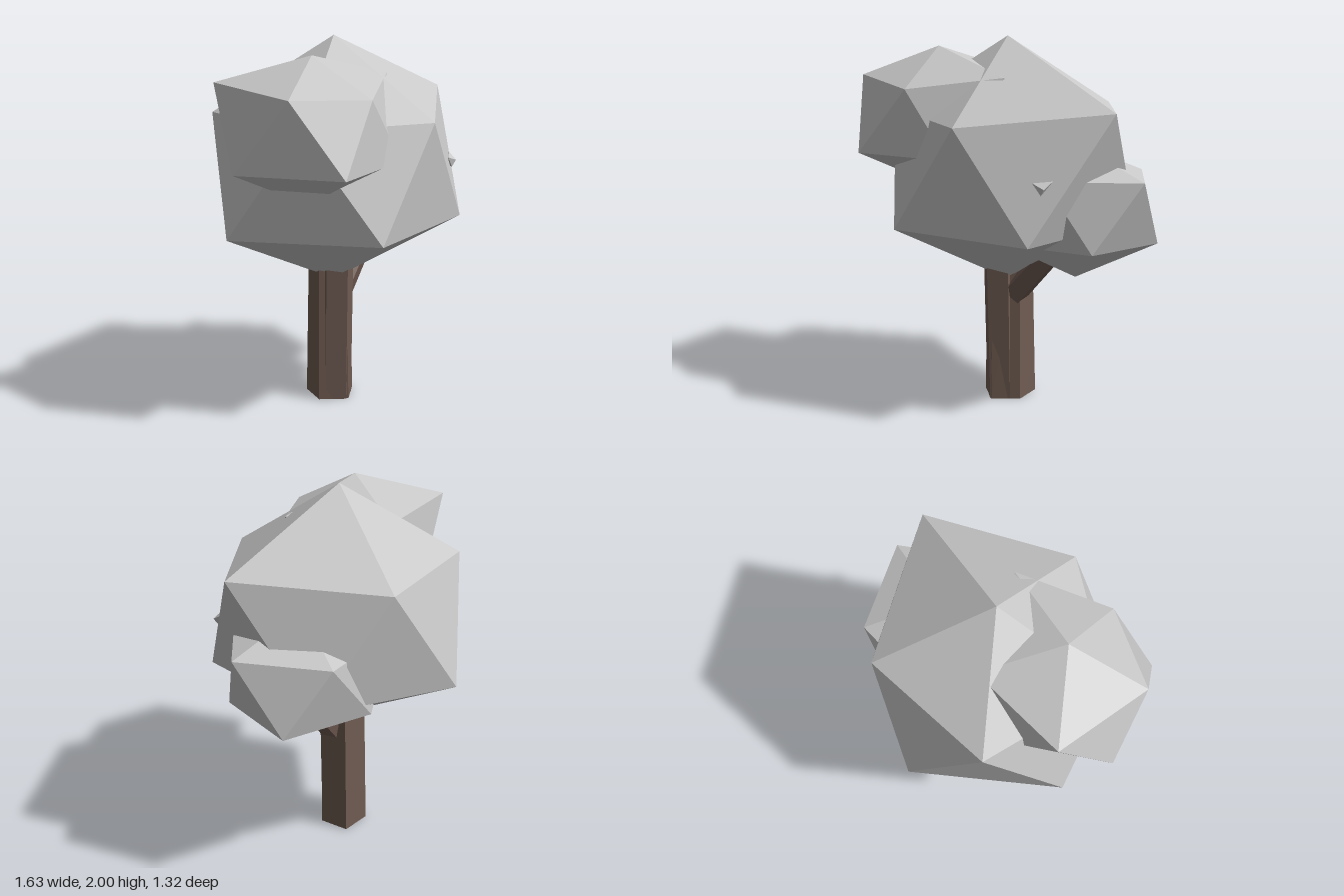
import * as THREE from 'three';
import { ConvexGeometry } from 'three/addons/geometries/ConvexGeometry.js';

const foliage = new THREE.MeshStandardMaterial({ color: 0xc8c8c8, flatShading: true });
foliage.name = 'foliage grey';
const bark = new THREE.MeshStandardMaterial({ color: 0x705c52, flatShading: true });
bark.name = 'bark brown';

// Faceted solid spanned by a handful of corner points
function solid(name, points, material) {
  const mesh = new THREE.Mesh(
    new ConvexGeometry(points.map((p) => new THREE.Vector3(...p))), material);
  mesh.name = name;
  return mesh;
}

// Five-sided tapered limb between two points
function limb(name, from, to, r0, r1) {
  const a = new THREE.Vector3(...from), b = new THREE.Vector3(...to);
  const dir = b.clone().sub(a);
  const mesh = new THREE.Mesh(new THREE.CylinderGeometry(r1, r0, dir.length(), 5), bark);
  mesh.position.copy(a).add(b).multiplyScalar(0.5);
  mesh.quaternion.setFromUnitVectors(new THREE.Vector3(0, 1, 0), dir.normalize());
  mesh.name = name;
  return mesh;
}

export function createModel() {
  const tree = new THREE.Group();
  tree.name = 'tree';

  // Crown: uneven twenty-sided clumps (top, upper ring, lower ring, bottom)
  tree.add(solid('mainCrown', [
    [-0.02, 2.0, 0],
    [0.735, 1.665, 0], [0.17, 1.595, 0.575], [-0.52, 1.6, 0.36], [-0.54, 1.6, -0.375], [0.17, 1.61, -0.6],
    [0.53, 1.02, 0.41], [-0.22, 1.025, 0.635], [-0.72, 1.01, 0], [-0.24, 1.005, -0.66], [0.53, 1.02, -0.41],
    [-0.02, 0.67, 0],
  ], foliage));
  tree.add(solid('upperClump', [
    [-0.33, 1.94, 0.21],
    [-0.725, 1.81, -0.075], [-0.665, 1.78, 0.46], [-0.22, 1.748, 0.545], [0.165, 1.81, 0.21], [-0.19, 1.79, -0.211],
    [-0.475, 1.4, 0.655], [-0.815, 1.4, 0.21], [0.03, 1.4, 0.48], [-0.46, 1.4, -0.19], [0.03, 1.4, -0.05],
    [-0.33, 1.17, 0.21],
  ], foliage));
  tree.add(solid('lowerClump', [
    [0.36, 1.455, -0.13],
    [0.815, 1.31, -0.135], [0.49, 1.285, -0.51], [0.49, 1.325, 0.25], [-0.01, 1.3, -0.4], [0, 1.3, 0.13],
    [0.71, 0.935, -0.385], [0.67, 0.95, 0.09], [0.22, 0.95, -0.5], [0.22, 0.95, 0.25], [-0.1, 0.95, -0.13],
    [0.36, 0.732, -0.13],
  ], foliage));

  // Tiny leaf tip poking through the crown
  tree.add(solid('leafTip', [
    [0.495, 1.335, 0.345], [0.57, 1.345, 0.275], [0.54, 1.275, 0.33], [0.565, 1.31, 0.335], [0.48, 1.3, 0.25],
  ], foliage));

  // Trunk: pentagon that shifts slightly as it rises
  const foot = [[-0.022, 0.13], [0.095, 0.02], [0.055, -0.142], [-0.12, -0.12], [-0.158, 0.04]];
  tree.add(solid('trunk', [
    ...foot.map(([x, z]) => [x, 0, z]),
    ...foot.map(([x, z]) => [-0.025 + (x + 0.025) * 0.93, 0.85, z * 0.85]),
  ], bark));

  // Stems rising from the trunk into each clump
  tree.add(limb('frontStem', [-0.035, 0, 0.03], [-0.04, 1.1, 0.05], 0.095, 0.1));
  tree.add(limb('sideBranch', [0, 0.58, 0], [0.34, 0.98, -0.09], 0.085, 0.075));
  return tree;
}
